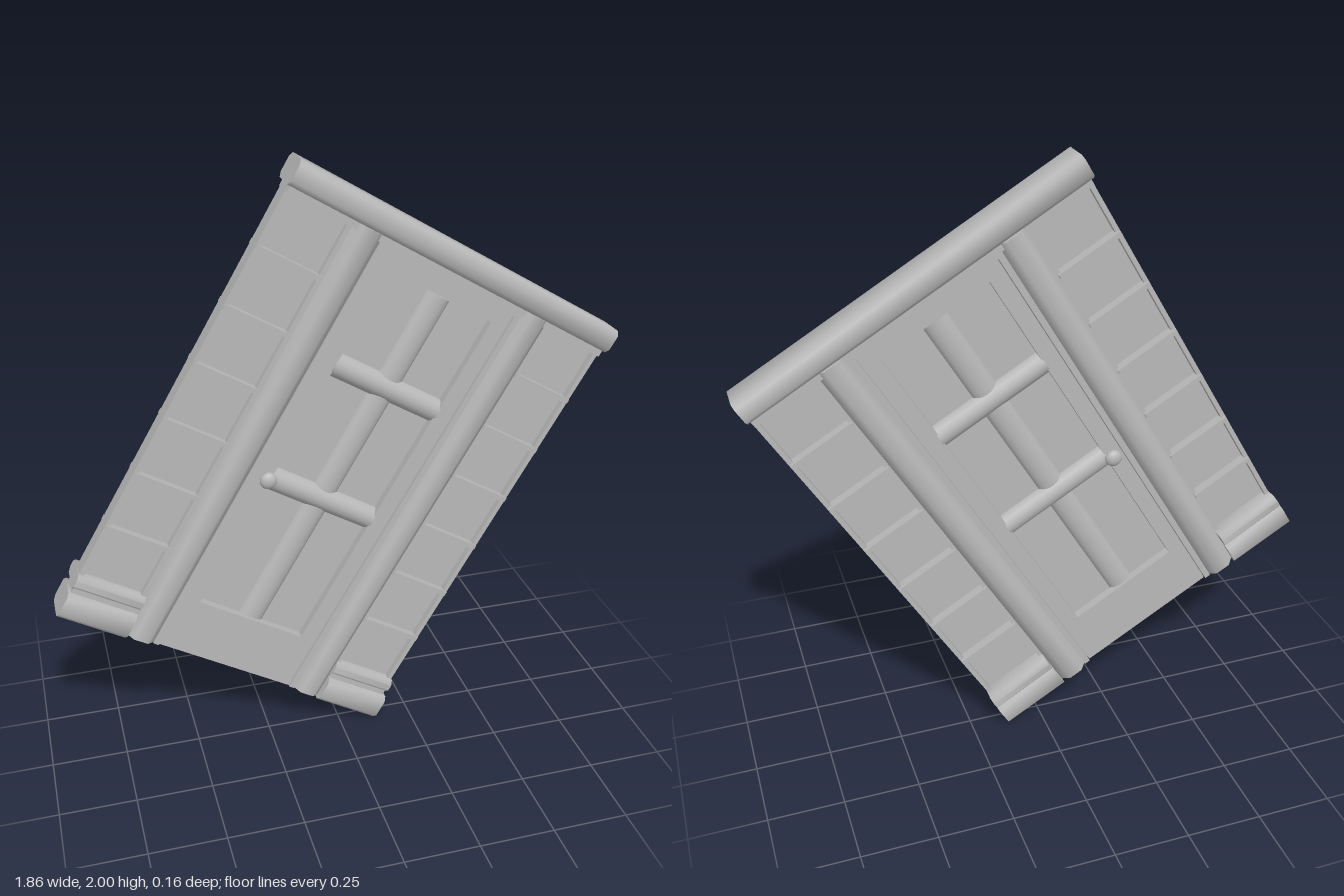
import * as THREE from 'three';
import { toCreasedNormals } from 'three/addons/utils/BufferGeometryUtils.js';

export function createModel() {
  const model = new THREE.Group();
  const door = new THREE.Group();
  door.name = 'tiltedDoorway';
  const grey = new THREE.MeshStandardMaterial({ color: 0xb8b8b8 });
  grey.name = 'plaster grey';

  const add = (name, geo, x = 0, y = 0, z = 0, parent = door) => {
    const m = new THREE.Mesh(geo, grey);
    m.name = name;
    m.position.set(x, y, z);
    parent.add(m);
    return m;
  };
  // plain block given by its limits
  const block = (name, x0, x1, y0, y1, z0, z1, parent) =>
    add(name, new THREE.BoxGeometry(x1 - x0, y1 - y0, z1 - z0), (x0 + x1) / 2, (y0 + y1) / 2, (z0 + z1) / 2, parent);
  // prism with chamfered long edges; runs along y, or along x when sideways
  const bar = (name, w, d, len, c, x, y, z, sideways, parent) => {
    const a = w / 2, b = d / 2;
    const pts = [[-a + c, -b], [a - c, -b], [a, -b + c], [a, b - c], [a - c, b], [-a + c, b], [-a, b - c], [-a, -b + c]];
    const geo = new THREE.ExtrudeGeometry(new THREE.Shape(pts.map(p => new THREE.Vector2(...p))), { depth: len, bevelEnabled: false });
    geo.translate(0, 0, -len / 2).rotateX(-Math.PI / 2);
    if (sideways) geo.rotateZ(Math.PI / 2);
    return add(name, toCreasedNormals(geo, 0.9), x, y, z, parent);
  };
  // bar with an elliptical section
  const roundBar = (name, w, d, len, x, y, sideways) => {
    const geo = new THREE.CylinderGeometry(1, 1, len, 16);
    geo.scale(w / 2, 1, d / 2);
    if (sideways) geo.rotateZ(Math.PI / 2);
    return add(name, geo, x, y, 0);
  };

  // lintel across the top
  bar('lintel', 0.08, 0.124, 1.22, 0.015, 0, 0.76, 0, true);
  block('lintelUnderside', -0.6, 0.6, 0.698, 0.725, -0.045, 0.045);

  // side windows with posts and plinths, mirrored
  for (const s of [-1, 1]) {
    const side = new THREE.Group();
    side.name = s < 0 ? 'rightSideWindow' : 'leftSideWindow';
    door.add(side);
    const across = (name, a, b, y0, y1, z0, z1) =>
      block(name, Math.min(s * a, s * b), Math.max(s * a, s * b), y0, y1, z0, z1, side);
    bar('post', 0.1, 0.118, 1.51, 0.025, s * 0.32, -0.035, 0, false, side);
    across('outerStile', 0.587, 0.602, -0.66, 0.72, -0.03, 0.03);
    across('innerStile', 0.37, 0.385, -0.66, 0.72, -0.03, 0.03);
    across('sidePane', 0.38, 0.59, -0.67, 0.7, -0.008, 0.008);
    for (let i = 0; i < 6; i++) {
      const y = 0.52 - 0.197 * i;
      across('paneDivider', 0.375, 0.6, y - 0.008, y + 0.008, -0.042, 0.036);
    }
    // plinth: foot, neck and moulded cap
    bar('plinthFoot', 0.09, 0.124, 0.24, 0.015, s * 0.49, -0.755, 0, true, side);
    across('plinthNeck', 0.372, 0.6, -0.715, -0.69, -0.045, 0.04);
    bar('plinthCap', 0.05, 0.13, 0.235, 0.015, s * 0.487, -0.672, -0.015, true, side);
  }

  // door leaf with an opening
  const leaf = new THREE.Shape([[-0.25, -0.79], [0.25, -0.79], [0.25, 0.69], [-0.25, 0.69]].map(p => new THREE.Vector2(...p)));
  leaf.holes.push(new THREE.Path([[-0.195, -0.6], [-0.195, 0.637], [0.195, 0.637], [0.195, -0.6]].map(p => new THREE.Vector2(...p))));
  add('doorLeaf', new THREE.ExtrudeGeometry(leaf, { depth: 0.07, bevelEnabled: false }), 0, 0, -0.035);
  block('doorPane', -0.2, 0.2, -0.61, 0.645, -0.006, 0.006);

  // thin jambs beside and above the leaf
  for (const s of [-1, 1]) block('doorJamb', s * 0.262 - 0.01, s * 0.262 + 0.01, -0.79, 0.7, -0.044, 0.044);
  block('doorHead', -0.27, 0.27, 0.685, 0.705, -0.044, 0.044);

  // rounded glazing bars
  roundBar('uprightGlazingBar', 0.09, 0.055, 1.23, 0, 0.018, false);
  for (const y of [0.3, -0.12]) roundBar('crossGlazingBar', 0.082, 0.08, 0.4, 0, y, true);

  // knobs on both faces
  for (const s of [-1, 1]) {
    const knob = add('knob', new THREE.SphereGeometry(0.028, 16, 12), -0.212, -0.115, s * 0.062);
    knob.scale.z = 0.65;
    const stem = add('knobStem', new THREE.CylinderGeometry(0.014, 0.014, 0.04, 12), -0.212, -0.115, s * 0.045);
    stem.rotation.x = Math.PI / 2;
  }

  // the whole doorway leans over to one side
  door.rotation.z = -0.533;
  door.position.y = 1;
  model.add(door);
  return model;
}
